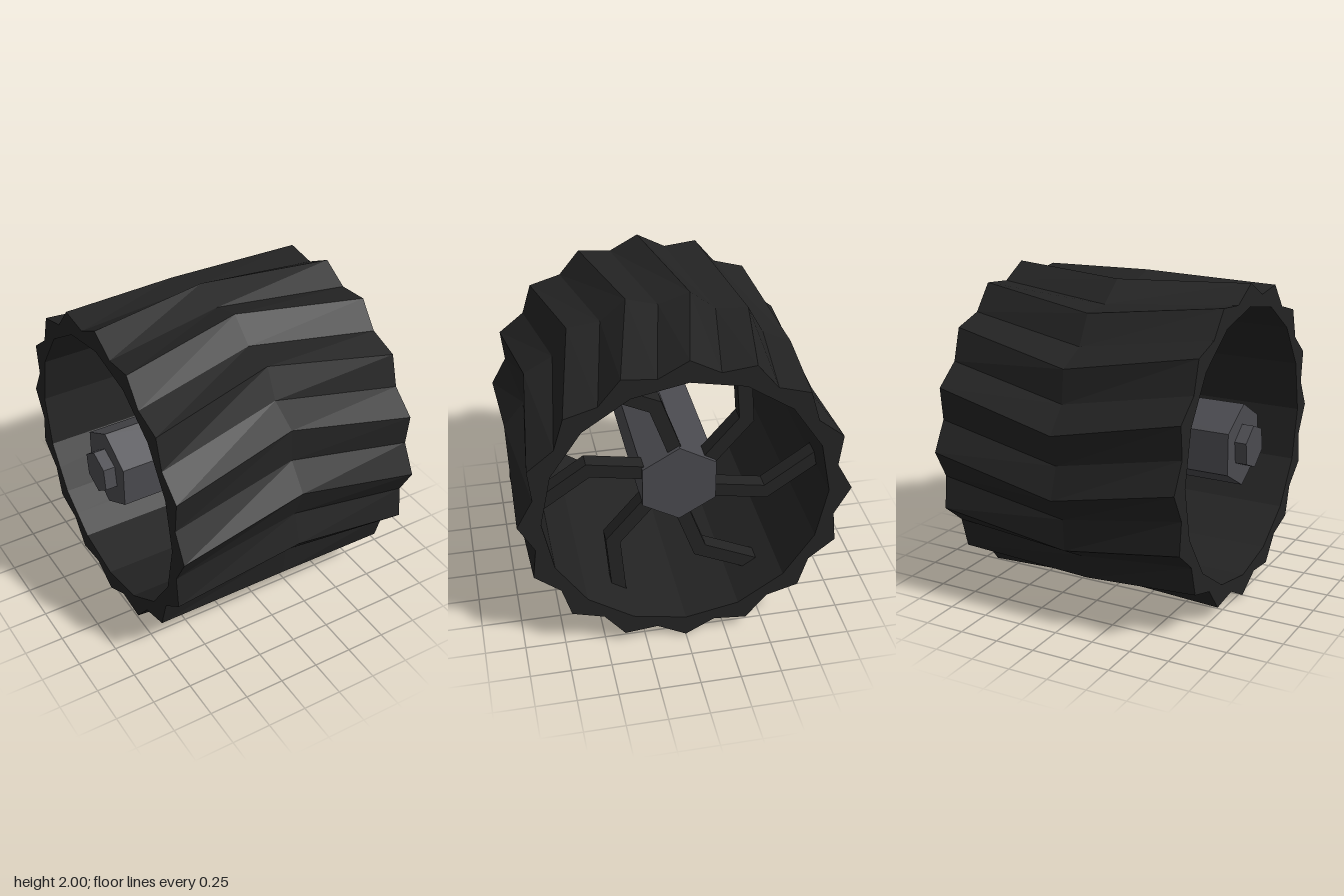
import * as THREE from 'three';

const rad = THREE.MathUtils.degToRad;
const PEAKS = 16;

// One face per facet, so edges stay crisp
function flat(geometry) {
  const g = geometry.index ? geometry.toNonIndexed() : geometry;
  g.computeVertexNormals();
  return g;
}

// Ribbed ring: star outside, plain polygon inside, tread twisted at mid width
function tireGeometry() {
  const x0 = -0.775, x1 = 0.82, steps = PEAKS * 2;
  const inner = [0.86, 0.86 * Math.cos(Math.PI / PEAKS)];
  const outer = [1, 0.92];
  const rings = [
    { x: x0, radii: outer, twist: 0 },
    { x: (x0 + x1) / 2, radii: outer, twist: rad(10) },
    { x: x1, radii: outer, twist: 0 },
    { x: x1, radii: inner, twist: 0 },
    { x: x0, radii: inner, twist: 0 },
  ];
  const point = (i, j) => {
    const { x, radii, twist } = rings[i % rings.length];
    const a = (j / steps) * Math.PI * 2 + twist, r = radii[j % 2];
    return [x, Math.sin(a) * r, Math.cos(a) * r];
  };
  const positions = [];
  for (let i = 0; i < rings.length; i++) {
    for (let j = 0; j < steps; j++) {
      const a = point(i, j), b = point(i + 1, j);
      const c = point(i + 1, j + 1), d = point(i, j + 1);
      positions.push(...a, ...b, ...c, ...a, ...c, ...d);
    }
  }
  const g = new THREE.BufferGeometry();
  g.setAttribute('position', new THREE.Float32BufferAttribute(positions, 3));
  return flat(g);
}

// Six-sided bar along x
function hexBar(radius, from, to, turn) {
  const g = new THREE.CylinderGeometry(radius, radius, to - from, 6, 1, false, rad(turn));
  g.rotateZ(-Math.PI / 2);
  g.translate((from + to) / 2, 0, 0);
  return flat(g);
}

// Bent bar from hub to rim with a mitred elbow
function spokeGeometry() {
  const half = 0.044;
  const root = new THREE.Vector2(0.13, 0.07);
  const elbow = new THREE.Vector2(0.407, 0.397);
  const tip = new THREE.Vector2(0.374, 0.8);
  const normal = (p, q) => {
    const d = q.clone().sub(p).normalize();
    return new THREE.Vector2(-d.y, d.x);
  };
  const n1 = normal(root, elbow), n2 = normal(elbow, tip);
  const miter = n1.clone().add(n2).divideScalar(1 + n1.dot(n2));
  const line = [[root, n1], [elbow, miter], [tip, n2]];
  const side = (s) => line.map(([p, n]) => p.clone().addScaledVector(n, s * half));
  const shape = new THREE.Shape([...side(-1), ...side(1).reverse()]);
  const g = new THREE.ExtrudeGeometry(shape, { depth: 0.1, bevelEnabled: false });
  g.rotateY(Math.PI / 2);
  g.translate(0.46, 0, 0);
  return flat(g);
}

export function createModel() {
  const rubber = new THREE.MeshStandardMaterial({ color: 0x232323 });
  rubber.name = 'black rubber';
  const metal = new THREE.MeshStandardMaterial({ color: 0x4a4a4f });
  metal.name = 'grey metal';

  const model = new THREE.Group();
  model.name = 'wheel';
  const add = (name, geometry, material) => {
    const mesh = new THREE.Mesh(geometry, material);
    mesh.name = name;
    mesh.position.y = 1;
    model.add(mesh);
    return mesh;
  };

  add('tire', tireGeometry(), rubber);

  // Hub shaft and the small axle end on the open side
  add('hub', hexBar(0.26, -0.75, 0.585, 30), metal);
  add('axleEnd', hexBar(0.138, -0.825, -0.74, 22.5), metal);

  // Six spokes near the outer face
  const spoke = spokeGeometry();
  for (let i = 0; i < 6; i++) {
    add(`spoke${i + 1}`, spoke, rubber).rotation.x = (i * Math.PI) / 3;
  }
  return model;
}
